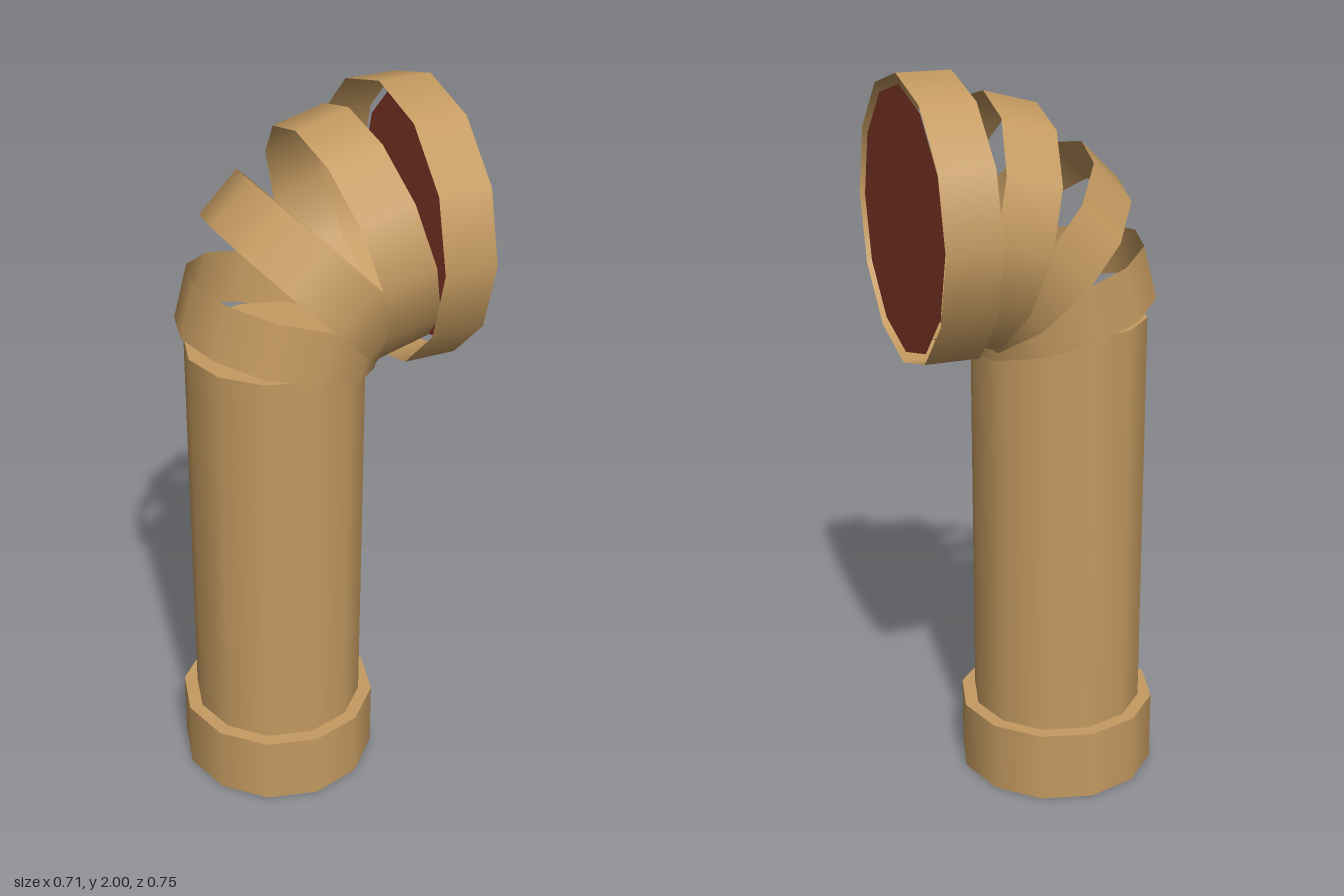
import * as THREE from 'three';

const SIDES = 12;

export function createModel() {
  const model = new THREE.Group();
  const brass = new THREE.MeshStandardMaterial({ color: 0xc49a60, side: THREE.DoubleSide });
  const red = new THREE.MeshStandardMaterial({ color: 0x8a3c2a, side: THREE.DoubleSide });

  const add = (name, geometry, material) => {
    const mesh = new THREE.Mesh(geometry, material);
    mesh.name = name;
    model.add(mesh);
    return mesh;
  };

  // Open sheet-metal band, leaning towards +x by the given angle
  const band = (name, radius, height, x, y, lean = 0) => {
    const mesh = add(name, new THREE.CylinderGeometry(radius, radius, height, SIDES, 1, true), brass);
    mesh.position.set(x, y, 0);
    mesh.rotation.z = -THREE.MathUtils.degToRad(lean);
  };

  // Flat lid facing up
  const lid = (name, radius, x, y) => {
    add(name, new THREE.CircleGeometry(radius, SIDES).rotateX(-Math.PI / 2), brass).position.set(x, y, 0);
  };

  // Base collar and upright pipe
  band('baseCollar', 0.278, 0.2, -0.08, 0.1);
  lid('collarTop', 0.278, -0.08, 0.2);
  band('pipe', 0.24, 1.14, -0.08, 0.77);
  lid('pipeTop', 0.24, -0.08, 1.34);

  // Elbow of widening bands, each leaning further over: [radius, x, y, lean]
  [
    [0.27, -0.06, 1.408, 15],
    [0.298, 0.015, 1.536, 45],
    [0.327, 0.139, 1.61, 75],
  ].forEach(([radius, x, y, lean], i) => band(`elbowBand${i + 1}`, radius, 0.15, x, y, lean));

  // Mouth ring with a red disc just inside its front edge
  band('mouthRing', 0.373, 0.145, 0.282, 1.628, 90);
  const disc = add('mouthDisc', new THREE.CircleGeometry(0.346, SIDES).rotateY(Math.PI / 2), red);
  disc.position.set(0.347, 1.628, 0);

  return model;
}
